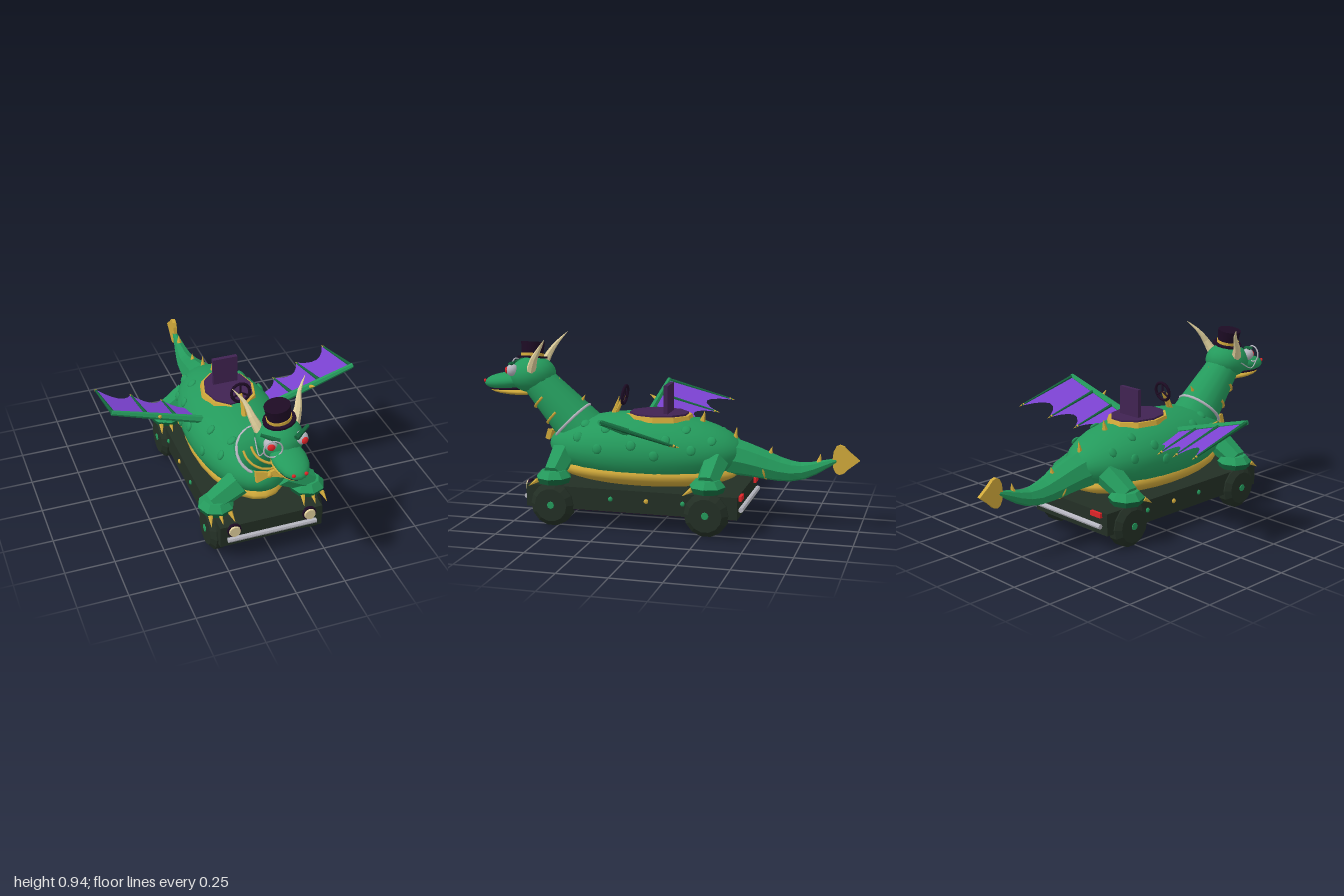
import * as THREE from 'three';

const M = {};
for (const [name, hex] of Object.entries({
  green: 0x249a5c, darkGreen: 0x14663c, chassisGreen: 0x232f25, gold: 0xd0a93a, violet: 0x7c42d2,
  black: 0x1d0b24, plum: 0x402352, cream: 0xdfcf9c, silver: 0xb6b6c0, red: 0xe02428,
})) {
  M[name] = new THREE.MeshStandardMaterial({ color: hex });
  M[name].name = name;
}
M.violet.side = THREE.DoubleSide;

const V = (x, y, z) => new THREE.Vector3(x, y, z);

// Faceted copy of a geometry
function flat(geo) {
  const g = geo.index ? geo.toNonIndexed() : geo;
  g.computeVertexNormals();
  return g;
}

export function createModel() {
  const model = new THREE.Group();
  model.name = 'dragonCar';

  function add(name, geo, mat, pos = [0, 0, 0], rot = [0, 0, 0], parent = model) {
    const m = new THREE.Mesh(geo, mat);
    m.name = name;
    m.position.set(...pos);
    m.rotation.set(...rot);
    parent.add(m);
    return m;
  }
  const box = (name, mat, size, pos, rot) => add(name, new THREE.BoxGeometry(...size), mat, pos, rot);
  const ball = (name, mat, r, pos, rot, seg = 16) =>
    add(name, new THREE.SphereGeometry(1, seg, Math.ceil(seg * 0.7)).scale(...r), mat, pos, rot);
  // Tapered rod from a to b
  function limb(name, mat, a, b, r1, r2, seg = 8, smooth = false) {
    const d = b.clone().sub(a);
    const g = new THREE.CylinderGeometry(r2, r1, d.length(), seg);
    const m = add(name, smooth ? g : flat(g), mat, a.clone().add(b).multiplyScalar(0.5).toArray());
    m.quaternion.setFromUnitVectors(V(0, 1, 0), d.normalize());
    return m;
  }
  // Curved horn or tail: a tube whose rings shrink along the path
  function taper(name, mat, pts, radius, seg, sides) {
    const curve = new THREE.CatmullRomCurve3(pts);
    const g = new THREE.TubeGeometry(curve, seg, 1, sides);
    const p = g.attributes.position, v = V(0, 0, 0);
    for (let i = 0; i < p.count; i++) {
      const t = Math.floor(i / (sides + 1)) / seg, c = curve.getPointAt(t);
      v.fromBufferAttribute(p, i).sub(c).multiplyScalar(radius(t)).add(c);
      p.setXYZ(i, v.x, v.y, v.z);
    }
    return add(name, flat(g), mat);
  }

  // Chassis, bumpers and lights
  box('chassis', M.chassisGreen, [0.53, 0.115, 1.1], [0, 0.152, 0.12]);
  box('underside', M.black, [0.5, 0.008, 1.06], [0, 0.092, 0.12]);
  for (const [z, n] of [[0.683, 'frontBumper'], [-0.442, 'rearBumper']])
    limb(n, M.silver, V(-0.23, 0.138, z), V(0.23, 0.138, z), 0.013, 0.013, 8);
  for (const s of [-1, 1]) {
    limb('headlightRim', M.black, V(s * 0.195, 0.185, 0.665), V(s * 0.195, 0.185, 0.68), 0.036, 0.036, 12);
    limb('headlight', M.cream, V(s * 0.195, 0.185, 0.67), V(s * 0.195, 0.185, 0.69), 0.031, 0.028, 12);
    box('tailLight', M.red, [0.07, 0.025, 0.02], [s * 0.195, 0.195, -0.435]);
    [0.22, 0.033, -0.155].forEach((z, i) =>
      ball('sideStud', i === 1 ? M.gold : M.green, [0.01, 0.013, 0.013], [s * 0.266, 0.16, z], [0, 0, 0], 6));
  }

  // Wheels with legs resting over them
  const tyre = flat(new THREE.LatheGeometry([[0, -0.046], [0.085, -0.046], [0.113, -0.022], [0.113, 0.022],
    [0.085, 0.046], [0, 0.046]].map(p => new THREE.Vector2(...p)), 14).rotateZ(Math.PI / 2));
  for (const s of [-1, 1]) for (const z of [0.53, -0.275]) {
    add('wheel', tyre, M.chassisGreen, [s * 0.25, 0.114, z]);
    limb('hub', M.green, V(s * 0.29, 0.114, z), V(s * 0.3, 0.114, z), 0.022, 0.018, 8);
    limb('upperLeg', M.green, V(s * 0.12, 0.345, z - 0.01), V(s * 0.255, 0.265, z), 0.07, 0.055, 6);
    add('foot', flat(new THREE.CylinderGeometry(0.062, 0.092, 0.035, 8)), M.green, [s * 0.238, 0.27, z]);
    add('footBase', flat(new THREE.CylinderGeometry(0.092, 0.08, 0.03, 8)), M.darkGreen, [s * 0.238, 0.238, z]);
    for (const dx of [-0.05, 0, 0.05])
      limb('claw', M.gold, V(s * 0.24 + dx, 0.24, z + 0.07), V(s * 0.24 + dx * 1.2, 0.21, z + 0.115), 0.013, 0.001, 6);
  }

  // Body, belly and scale bumps
  const bodyR = [0.25, 0.187, 0.52], bodyC = [0, 0.38, 0.105];
  add('body', new THREE.SphereGeometry(1, 24, 16).rotateX(Math.PI / 2).scale(...bodyR), M.green, bodyC);
  ball('belly', M.gold, [0.225, 0.085, 0.485], [0, 0.272, 0.105], [0, 0, 0], 24);
  for (const s of [-1, 1])
    for (const [z, a] of [[0.42, 0.5], [0.4, 1.0], [0.3, 0.15], [0.27, 0.75], [0.12, 0.3], [0.0, 0.05],
      [-0.05, 0.5], [-0.14, 0.9], [-0.18, 0.25], [-0.27, 0.65]]) {
      const k = Math.sqrt(1 - ((z - bodyC[2]) / bodyR[2]) ** 2);
      ball('scaleBump', M.green, [0.01, 0.026, 0.026],
        [s * bodyR[0] * k * Math.cos(a), bodyC[1] + bodyR[1] * k * Math.sin(a), z], [0, 0, s * a], 8);
    }

  // Tail with spade tip
  const tailR = [0.105, 0.088, 0.072, 0.055, 0.034, 0.012];
  taper('tail', M.green, [V(0, 0.365, -0.3), V(0, 0.345, -0.42), V(0, 0.298, -0.68), V(0, 0.365, -0.88)], t => {
    const i = Math.min(4, Math.floor(t * 5));
    return THREE.MathUtils.lerp(tailR[i], tailR[i + 1], t * 5 - i);
  }, 10, 8);
  const spade = new THREE.Shape();
  spade.moveTo(-0.86, 0.37);
  spade.bezierCurveTo(-0.86, 0.45, -0.9, 0.47, -0.94, 0.415);
  spade.lineTo(-0.995, 0.37);
  spade.lineTo(-0.94, 0.325);
  spade.bezierCurveTo(-0.9, 0.27, -0.86, 0.29, -0.86, 0.37);
  add('tailSpade', new THREE.ExtrudeGeometry(spade, { depth: 0.02, bevelEnabled: false, curveSegments: 5 })
    .rotateY(-Math.PI / 2), M.gold, [0.01, 0, 0]);
  add('tailBand', new THREE.TorusGeometry(0.066, 0.006, 6, 14, Math.PI).rotateZ(Math.PI), M.gold,
    [0, 0.318, -0.52], [0.15, 0, 0]);

  // Spikes down the neck, back and tail
  for (const [y, z, h, lean] of [[0.68, 0.61, 0.055, -0.7], [0.59, 0.47, 0.06, -0.6], [0.545, 0.28, 0.1, -0.3],
    [0.525, -0.19, 0.06, -0.25], [0.43, -0.36, 0.08, -0.15], [0.37, -0.54, 0.05, -0.3], [0.345, -0.79, 0.05, -0.2]])
    limb('backSpike', M.gold, V(0, y - 0.01, z), V(0, y + h * Math.cos(lean), z + h * Math.sin(lean)), 0.02, 0.001, 6);

  // Cockpit, seat and steering wheel
  const octagon = g => flat(g.rotateY(Math.PI / 10).scale(1, 1, 1.27));
  add('cockpitRim', octagon(new THREE.CylinderGeometry(0.135, 0.142, 0.025, 10)), M.gold, [0, 0.548, 0.035]);
  add('cockpitFloor', octagon(new THREE.CylinderGeometry(0.122, 0.122, 0.04, 10)), M.plum, [0, 0.55, 0.035]);
  box('seatBack', M.plum, [0.13, 0.15, 0.022], [0, 0.64, -0.015]);
  limb('steeringColumn', M.gold, V(0, 0.55, 0.27), V(0, 0.648, 0.222), 0.012, 0.008);
  add('steeringWheel', new THREE.TorusGeometry(0.048, 0.008, 6, 16), M.black, [0, 0.65, 0.22], [-0.15, 0, 0]);
  for (const a of [0, 2.1, 4.2])
    limb('steeringSpoke', M.black, V(0, 0.65, 0.22), V(0.046 * Math.sin(a), 0.65 + 0.046 * Math.cos(a), 0.22), 0.005, 0.005, 6);

  // Wings: sloped membrane with bone fingers
  const wingY = (x, z) => 0.495 + (x - 0.2) * 0.31 - (0.15 - z) * 0.26;
  const sail = new THREE.Shape();
  sail.moveTo(0.16, 0.15);
  sail.lineTo(0.635, 0.15);
  sail.lineTo(0.63, -0.22);
  sail.quadraticCurveTo(0.54, 0.01, 0.46, -0.17);
  sail.quadraticCurveTo(0.39, 0.03, 0.31, -0.12);
  sail.quadraticCurveTo(0.27, 0.03, 0.16, -0.02);
  for (const s of [-1, 1]) {
    const g = new THREE.ShapeGeometry(sail, 6), p = g.attributes.position;
    for (let i = 0; i < p.count; i++) {
      const x = p.getX(i), z = p.getY(i);
      p.setXYZ(i, s * x, wingY(x, z), z);
    }
    g.computeVertexNormals();
    add('wingMembrane', g, M.violet);
    const at = (x, z, up = 0) => V(s * x, wingY(x, z) + up, z);
    limb('wingLeadingEdge', M.green, at(0.15, 0.158), at(0.638, 0.15), 0.021, 0.013, 6);
    for (const [x, z] of [[0.632, -0.215], [0.46, -0.165], [0.31, -0.115]]) {
      limb('wingFinger', M.darkGreen, at(x, 0.15), at(x, z), 0.011, 0.005, 6);
      limb('fingerTip', M.gold, at(x, z + 0.015), at(x, z - 0.015), 0.007, 0.001, 6);
    }
    limb('wingThorn', M.gold, at(0.4, 0.16), at(0.41, 0.2, 0.01), 0.012, 0.001, 6);
  }

  // Neck with throat bands, chain collar and bow tie
  limb('neck', M.green, V(0, 0.43, 0.43), V(0, 0.72, 0.71), 0.128, 0.085, 16, true);
  add('collarChain', new THREE.TorusGeometry(0.12, 0.008, 6, 24), M.silver, [0, 0.5, 0.505], [-0.78, 0, 0]);
  for (const [y, z, r] of [[0.56, 0.56, 0.109], [0.635, 0.635, 0.099]])
    add('throatBand', new THREE.TorusGeometry(r, 0.007, 6, 16, Math.PI).rotateZ(Math.PI), M.gold, [0, y, z], [-0.78, 0, 0]);
  const bow = new THREE.Shape([[-0.068, 0.028], [0, 0.01], [0.068, 0.028], [0.068, -0.028], [0, -0.01], [-0.068, -0.028]]
    .map(p => new THREE.Vector2(...p)));
  add('bowTie', new THREE.ExtrudeGeometry(bow, { depth: 0.025, bevelEnabled: false }), M.gold, [0, 0.43, 0.605], [-0.3, 0, 0]);
  ball('bowKnot', M.gold, [0.015, 0.016, 0.018], [0, 0.433, 0.622], [0, 0, 0], 8);

  // Head, snout and jaw
  ball('head', M.green, [0.112, 0.095, 0.125], [0, 0.735, 0.725], [0.1, 0, 0]);
  ball('snout', M.green, [0.082, 0.046, 0.14], [0, 0.697, 0.855], [0.1, 0, 0]);
  ball('mouth', M.black, [0.064, 0.014, 0.115], [0, 0.66, 0.85], [0.05, 0, 0]);
  ball('jaw', M.gold, [0.068, 0.02, 0.125], [0, 0.645, 0.835], [-0.05, 0, 0]);
  for (const s of [-1, 1]) {
    ball('nostril', M.red, [0.01, 0.009, 0.008], [s * 0.03, 0.697, 0.982], [0, 0, 0], 8);
    ball('eye', M.silver, [0.032, 0.032, 0.032], [s * 0.075, 0.765, 0.81], [0, 0, 0], 12);
    ball('pupil', M.red, [0.018, 0.018, 0.011], [s * 0.081, 0.765, 0.837], [0, s * 0.3, 0], 10);
    limb('brow', M.darkGreen, V(s * 0.04, 0.787, 0.835), V(s * 0.115, 0.81, 0.79), 0.014, 0.008, 6);
    taper('horn', M.cream, [V(s * 0.085, 0.77, 0.7), V(s * 0.112, 0.83, 0.675), V(s * 0.132, 0.89, 0.635),
      V(s * 0.178, 0.945, 0.59)], t => 0.026 * (1 - t) + 0.001, 6, 7);
  }
  add('monocle', new THREE.TorusGeometry(0.043, 0.004, 6, 20), M.silver, [-0.077, 0.762, 0.85], [0, -0.15, 0]);
  add('monocleChain', new THREE.TubeGeometry(new THREE.CatmullRomCurve3([V(-0.118, 0.755, 0.845),
    V(-0.122, 0.7, 0.79), V(-0.112, 0.74, 0.71)]), 10, 0.003, 5), M.silver);

  // Tilted top hat
  const hat = new THREE.Group();
  hat.name = 'topHat';
  hat.position.set(0, 0.826, 0.725);
  hat.rotation.z = 0.17;
  model.add(hat);
  add('hatBrim', new THREE.CylinderGeometry(0.078, 0.078, 0.01, 16), M.black, [0, 0, 0], [0, 0, 0], hat);
  add('hatBand', new THREE.CylinderGeometry(0.06, 0.06, 0.015, 16), M.gold, [0, 0.014, 0], [0, 0, 0], hat);
  add('hatCrown', new THREE.CylinderGeometry(0.062, 0.056, 0.06, 16), M.black, [0, 0.05, 0], [0, 0, 0], hat);

  return model;
}
